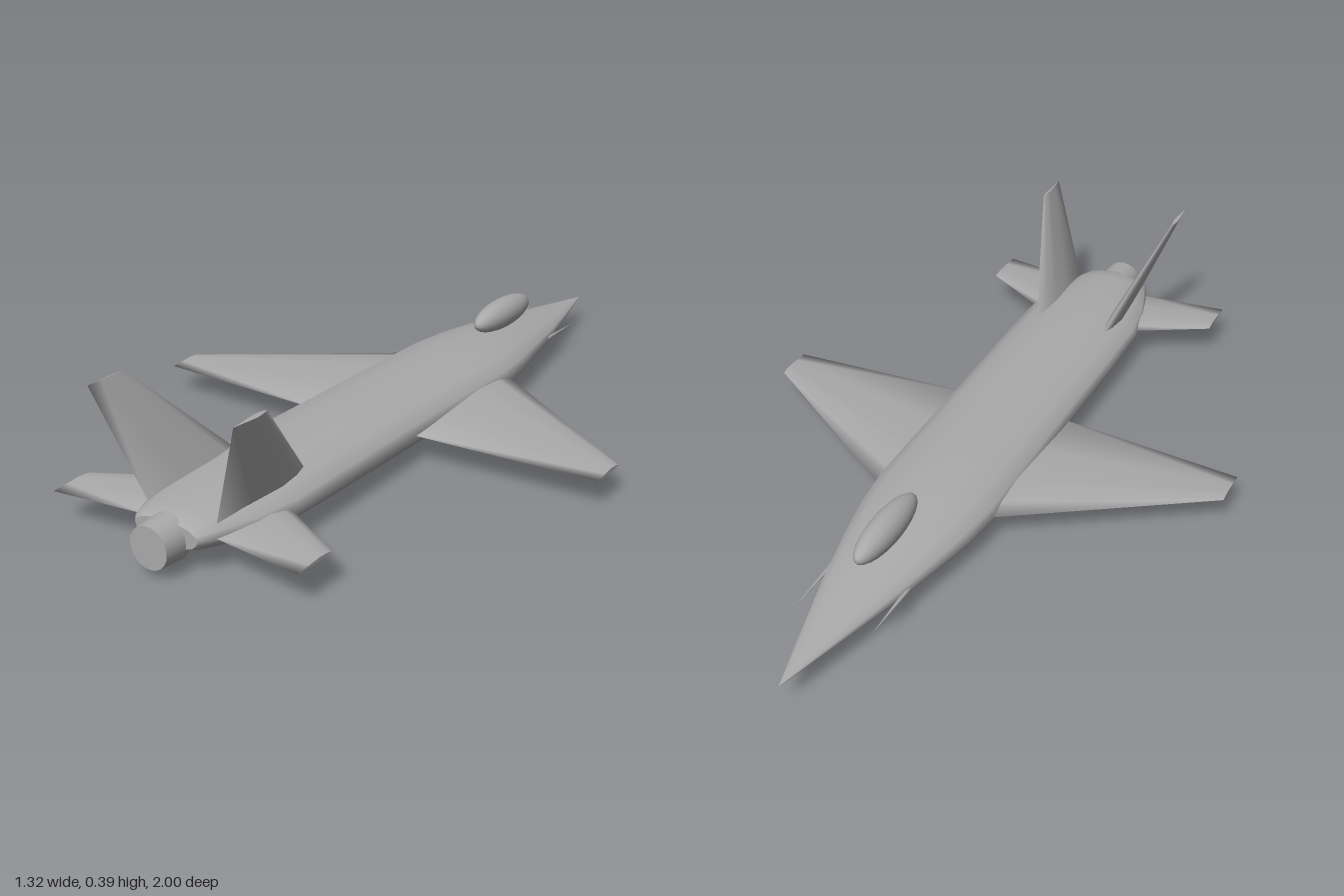
import * as THREE from 'three';

// Skin a list of closed rings (arrays of [x, y, z]) with smooth sides and flat end caps.
function loft(rings) {
  const pos = [], idx = [], n = rings[0].length;
  rings.forEach(r => r.forEach(p => pos.push(...p)));
  for (let i = 0; i < rings.length - 1; i++) {
    for (let j = 0; j < n; j++) {
      const a = i * n + j, b = i * n + (j + 1) % n;
      idx.push(a, b, a + n, b, b + n, a + n);
    }
  }
  [rings[0], rings[rings.length - 1]].forEach((ring, end) => {
    const base = pos.length / 3;
    ring.forEach(p => pos.push(...p));
    for (let j = 1; j < n - 1; j++) {
      idx.push(base, base + (end ? j : j + 1), base + (end ? j + 1 : j));
    }
  });
  // Signed volume tells whether the faces point outward
  let volume = 0;
  const v = i => new THREE.Vector3().fromArray(pos, idx[i] * 3);
  for (let i = 0; i < idx.length; i += 3) volume += v(i).dot(v(i + 1).cross(v(i + 2)));
  if (volume < 0) {
    for (let i = 0; i < idx.length; i += 3) [idx[i], idx[i + 1]] = [idx[i + 1], idx[i]];
  }
  const geo = new THREE.BufferGeometry();
  geo.setAttribute('position', new THREE.Float32BufferAttribute(pos, 3));
  geo.setIndex(idx);
  geo.computeVertexNormals();
  return geo;
}

// Blade-like surface between stations {x, y, z0, z1, t}; thickness is across the span.
const FOIL = [[0, 0], [0.12, 0.6], [0.32, 1], [0.65, 0.55], [1, 0], [0.65, -0.55], [0.32, -1], [0.12, -0.6]];
function blade(root, tip, side) {
  const dx = tip.x - root.x, dy = tip.y - root.y, len = Math.hypot(dx, dy);
  return loft([root, tip].map(s => FOIL.map(([u, h]) => [
    side * (s.x - dy / len * h * s.t),
    s.y + dx / len * h * s.t,
    s.z0 + (s.z1 - s.z0) * u,
  ])));
}

export function createModel() {
  const group = new THREE.Group();
  const grey = new THREE.MeshStandardMaterial({ color: 0xaaaaaa });
  grey.name = 'grey skin';
  const add = (name, geo) => {
    const mesh = new THREE.Mesh(geo, grey);
    mesh.name = name;
    group.add(mesh);
    return mesh;
  };

  // Fuselage: one half section, mirrored and scaled at each station
  const half = [[0.0, 1], [0.38, 0.97], [0.75, 0.74], [0.95, 0.42], [1, 0.12], [0.96, -0.2], [0.82, -0.55], [0.34, -0.97], [0, -1]];
  const section = [...half, ...half.slice(1, -1).reverse().map(([x, y]) => [-x, y])];
  // z, half width, bottom, top
  const stations = [
    [-1, 0.001, 0.067, 0.069], [-0.8, 0.057, 0.049, 0.091], [-0.66, 0.095, 0.036, 0.108],
    [-0.5, 0.131, 0.018, 0.127], [-0.38, 0.155, 0.007, 0.137], [-0.26, 0.169, 0.001, 0.142],
    [-0.1, 0.169, 0, 0.146], [0.2, 0.169, 0.003, 0.148], [0.5, 0.172, 0.009, 0.147],
    [0.68, 0.171, 0.014, 0.143], [0.8, 0.15, 0.023, 0.138], [0.89, 0.118, 0.038, 0.132],
    [0.93, 0.102, 0.047, 0.126], [0.942, 0.09, 0.054, 0.118],
  ];
  add('fuselage', loft(stations.map(([z, w, lo, hi]) =>
    section.map(([x, y]) => [x * w, (lo + hi) / 2 + y * (hi - lo) / 2, z]))));

  // Canopy bubble
  const canopy = add('canopy', new THREE.SphereGeometry(1, 24, 16));
  canopy.scale.set(0.04, 0.042, 0.142);
  canopy.position.set(0, 0.162, -0.513);

  // Engine nozzle
  const nozzle = add('nozzle', new THREE.CylinderGeometry(0.053, 0.058, 0.07, 20));
  nozzle.rotation.x = Math.PI / 2;
  nozzle.position.set(0, 0.075, 0.965);

  // Paired surfaces
  for (const [label, side] of [['left', 1], ['right', -1]]) {
    add(label + 'Wing', blade(
      { x: 0.1, y: 0.081, z0: -0.315, z1: 0.202, t: 0.019 },
      { x: 0.66, y: 0.076, z0: 0.06, z1: 0.168, t: 0.006 }, side));
    add(label + 'Tailplane', blade(
      { x: 0.08, y: 0.088, z0: 0.655, z1: 0.9, t: 0.013 },
      { x: 0.352, y: 0.088, z0: 0.81, z1: 0.932, t: 0.005 }, side));
    add(label + 'Fin', blade(
      { x: 0.1, y: 0.115, z0: 0.565, z1: 0.887, t: 0.018 },
      { x: 0.205, y: 0.389, z0: 0.83, z1: 0.942, t: 0.006 }, side));
    // Slim spike beside the nose
    const probe = add(label + 'Probe', new THREE.ConeGeometry(0.009, 0.25, 8));
    probe.rotation.x = -Math.PI / 2;
    probe.position.set(side * 0.104, 0.075, -0.645);
  }
  return group;
}
